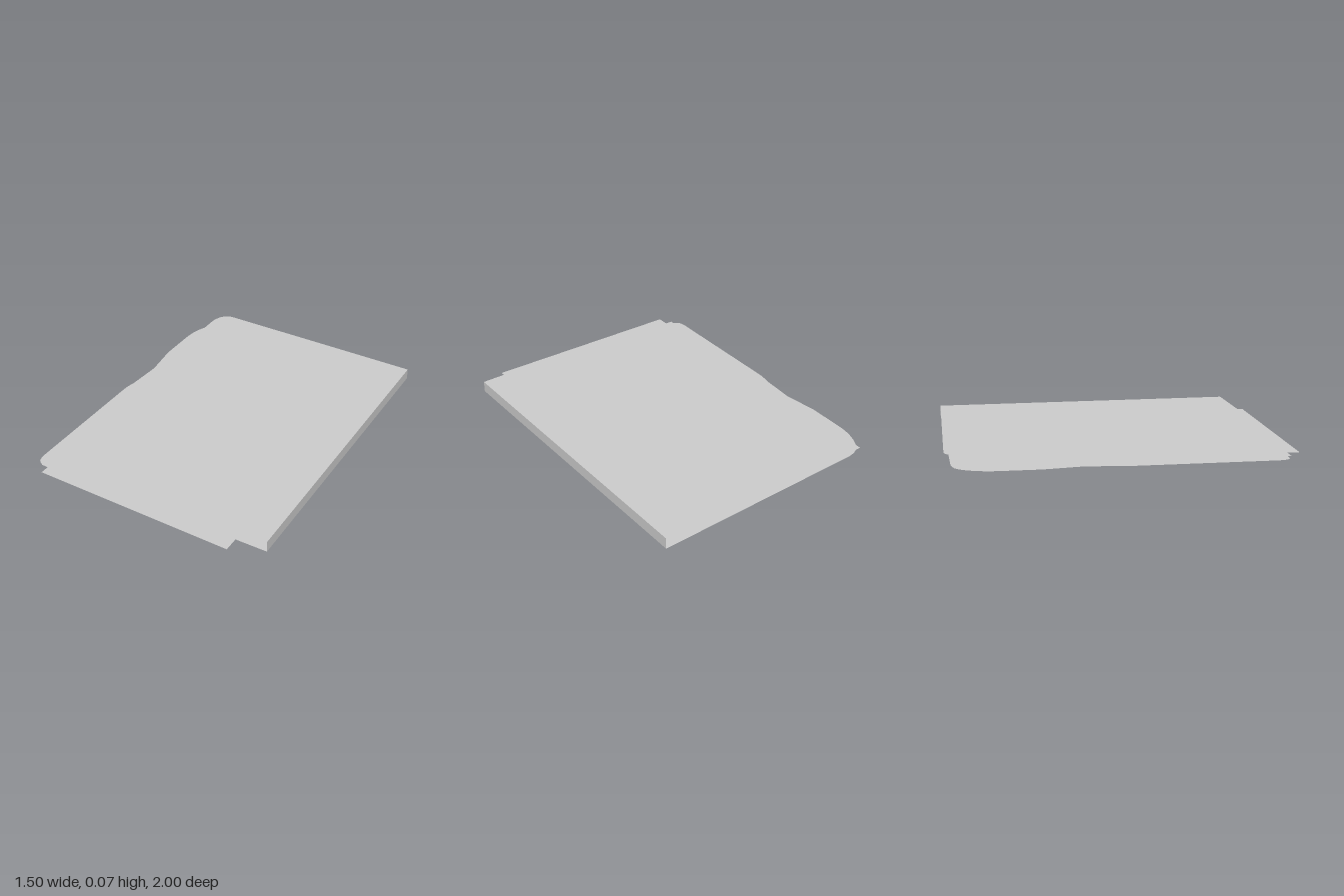
import * as THREE from 'three';

const material = new THREE.MeshStandardMaterial({ color: 0xcccccc, side: THREE.DoubleSide });

// Flat sheet from an outline drawn in (x, z), laid level at height y with a slight rise toward the back
function sheet(name, shape, y) {
  const geometry = new THREE.ShapeGeometry(shape, 10).rotateX(Math.PI / 2);
  const p = geometry.attributes.position;
  for (let i = 0; i < p.count; i++) p.setY(i, y - 0.002 * p.getZ(i));
  geometry.computeVertexNormals();
  const mesh = new THREE.Mesh(geometry, material);
  mesh.name = name;
  return mesh;
}

const polygon = (corners) => new THREE.Shape(corners.map(([x, z]) => new THREE.Vector2(x, z)));

export function createModel() {
  const folder = new THREE.Group();
  folder.name = 'paperFolder';

  // Back cover with a wavy tab along its open edge
  const back = new THREE.Shape();
  back.moveTo(0.75, -0.98);
  back.lineTo(-0.56, -0.965);
  back.quadraticCurveTo(-0.63, -0.96, -0.664, -0.92);
  back.bezierCurveTo(-0.71, -0.86, -0.73, -0.78, -0.73, -0.71);
  back.lineTo(-0.735, -0.49);
  back.lineTo(-0.71, -0.28);
  back.lineTo(-0.727, -0.07);
  back.quadraticCurveTo(-0.74, -0.02, -0.741, 0.02);
  back.lineTo(-0.755, 0.81);
  back.quadraticCurveTo(-0.755, 0.886, -0.7, 0.888);
  back.lineTo(0.75, 0.897);
  folder.add(sheet('backCover', back, 0.002));

  // Front cover with a stepped open edge and rounded corners
  const front = new THREE.Shape();
  front.moveTo(0.75, -0.98);
  front.lineTo(-0.54, -1);
  front.bezierCurveTo(-0.59, -1, -0.63, -0.95, -0.63, -0.86);
  front.lineTo(-0.636, -0.08);
  front.quadraticCurveTo(-0.636, -0.052, -0.62, -0.045);
  front.lineTo(-0.59, -0.02);
  front.quadraticCurveTo(-0.58, -0.01, -0.58, 0.01);
  front.lineTo(-0.59, 0.76);
  front.bezierCurveTo(-0.59, 0.84, -0.56, 0.885, -0.5, 0.885);
  front.lineTo(0.75, 0.897);
  folder.add(sheet('frontCover', front, 0.069));

  // Flat spine joining the covers
  const spine = new THREE.Mesh(new THREE.PlaneGeometry(1.877, 0.067).rotateY(Math.PI / 2), material);
  spine.name = 'spine';
  spine.position.set(0.75, 0.0355, -0.0415);
  spine.rotation.x = 0.002;
  folder.add(spine);

  // Loose papers, each lying a little askew
  const papers = [
    [0.010, [[-0.705, 0.9], [0.53, 0.95], [0.56, -0.925], [-0.664, -0.95]]],
    [0.0175, [[-0.655, 0.963], [0.57, 1], [0.59, -0.84], [-0.625, -0.877]]],
    [0.025, [[-0.6, 0.88], [0.61, 0.88], [0.63, -0.945], [-0.585, -0.94]]],
  ];
  papers.forEach(([y, corners], i) => folder.add(sheet(`paper${i + 1}`, polygon(corners), y)));

  return folder;
}
